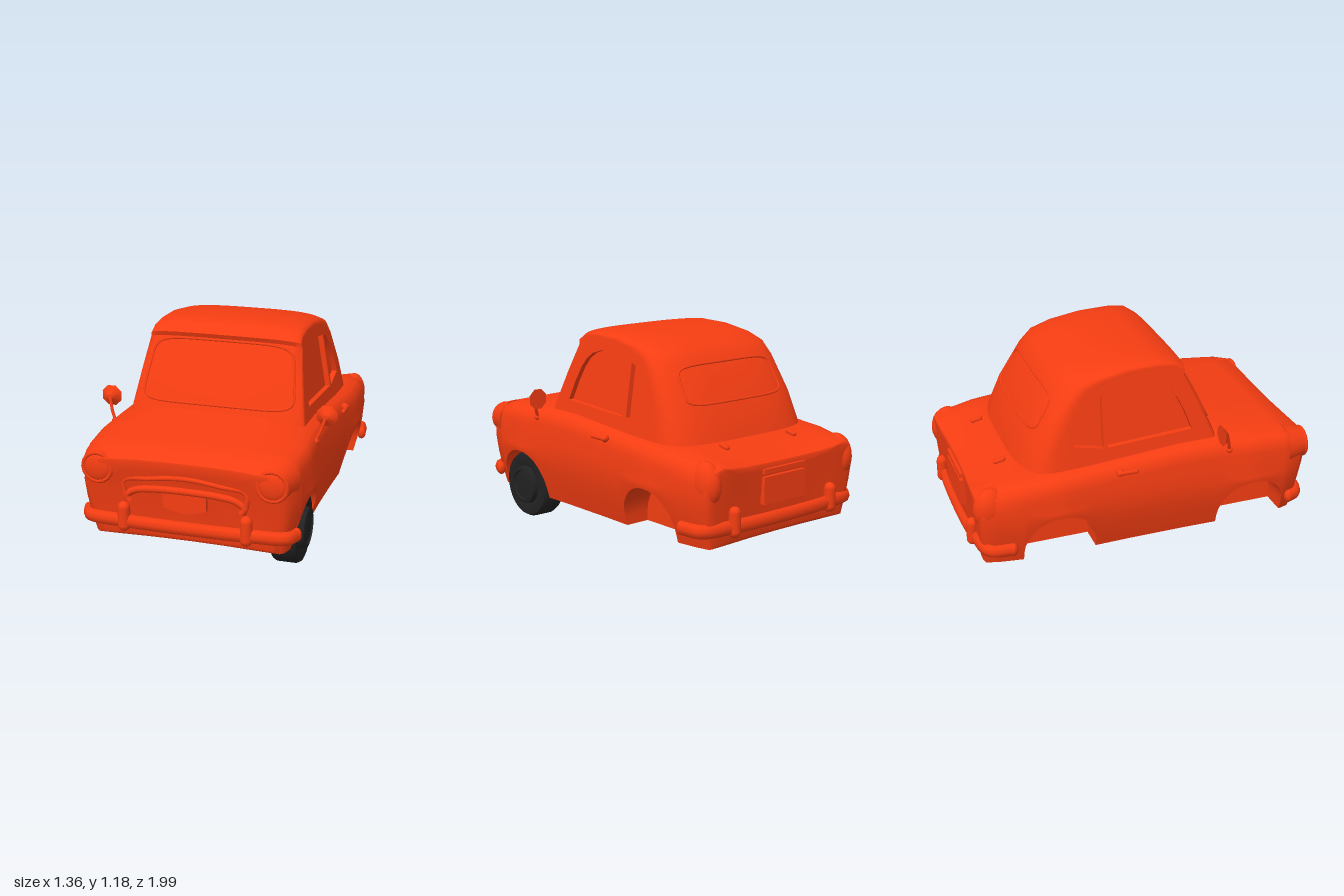
import * as THREE from 'three';
import { toCreasedNormals } from 'three/addons/utils/BufferGeometryUtils.js';

const paint = new THREE.MeshStandardMaterial({ color: 0xf53d12, side: THREE.DoubleSide });
const rubber = new THREE.MeshStandardMaterial({ color: 0x222222 });
const V = (x, y, z) => new THREE.Vector3(x, y, z);
const lerp = THREE.MathUtils.lerp;
const spow = (v, p) => Math.sign(v) * Math.abs(v) ** p;

// Linear lookup in rows sorted by descending first column
function lookup(rows, key) {
  let i = 0;
  while (i < rows.length - 2 && key < rows[i + 1][0]) i++;
  const a = rows[i], b = rows[i + 1];
  const k = THREE.MathUtils.clamp((key - a[0]) / (b[0] - a[0]), 0, 1);
  return a.map((v, n) => lerp(v, b[n], k));
}

// Skin over a list of equal-length point rows
function loft(rows, closed, crease = 0.6) {
  const n = rows[0].length, idx = [];
  for (let i = 0; i < rows.length - 1; i++)
    for (let j = 0; j < (closed ? n : n - 1); j++) {
      const a = i * n + j, b = i * n + (j + 1) % n;
      idx.push(a, b, b + n, a, b + n, a + n);
    }
  const g = new THREE.BufferGeometry().setFromPoints(rows.flat());
  g.setIndex(idx);
  return toCreasedNormals(g, crease);
}

function mesh(name, geo, mat = paint, pos) {
  const m = new THREE.Mesh(geo, mat);
  m.name = name;
  if (pos) m.position.set(...pos);
  return m;
}

const tube = (pts, r, closed = false, seg = 48) =>
  new THREE.TubeGeometry(new THREE.CatmullRomCurve3(pts, closed), seg, r, 8, closed);

// ---- Lower body: z, centre top, shoulder height, half width
const stations = [
  [0.965, 0.625, 0.615, 0.56], [0.93, 0.655, 0.645, 0.583], [0.83, 0.68, 0.665, 0.605],
  [0.63, 0.705, 0.68, 0.618], [0.43, 0.735, 0.69, 0.605], [0.2, 0.72, 0.69, 0.6],
  [-0.1, 0.70, 0.67, 0.6], [-0.31, 0.68, 0.655, 0.605], [-0.51, 0.66, 0.645, 0.616],
  [-0.72, 0.635, 0.63, 0.603], [-0.85, 0.605, 0.61, 0.583], [-0.95, 0.56, 0.59, 0.56],
];
const FLOOR = 0.152, ARCH = 0.208, arches = [0.63, -0.515];
const sideShape = [[0.7, 0.95], [0.6, 0.975], [0.5, 0.985], [0.43, 1], [0.3, 0.965], [0.15, 0.9]];

function section(z, bottom) {
  const [, top, sh, w] = lookup(stations, z);
  const half = [[0, top], [0.25 * w, top - 0.04 * (top - sh)], [0.5 * w, lerp(top, sh, 0.2)],
    [0.7 * w, lerp(top, sh, 0.6)], [0.83 * w, sh], [0.91 * w, sh - 0.015], [0.955 * w, sh - 0.04]];
  const side = y => lookup(sideShape, y)[1] * w;
  for (const y of [sh - 0.09, 0.5]) half.push([side(y), y]);
  for (const k of [0, 0.33, 0.66, 1]) {
    const y = lerp(0.45, bottom, k);
    half.push([side(y), y]);
  }
  half.push([0.4, bottom], [0.4, FLOOR], [0.2, FLOOR], [0, FLOOR]);
  const left = half.slice(1, -1).reverse().map(([x, y]) => [-x, y]);
  return half.concat(left).map(([x, y]) => V(x, y, z));
}

// Ends lean in towards the bottom and dip slightly between the lamps
function bendEnds(p) {
  const t = Math.max(0, (Math.abs(p.z) - 0.75) / 0.22) ** 2;
  const front = p.z > 0;
  const lean = lookup([[0.63, 0.01], [0.4, front ? -0.03 : -0.01], [0.15, front ? -0.06 : -0.03]], p.y)[1];
  const dip = -0.02 * Math.max(0, 1 - (p.x / 0.45) ** 2);
  p.z += Math.sign(p.z) * t * (lean + dip);
  return p;
}

function bodyShell() {
  const cuts = stations.map(s => [s[0], FLOOR])
    .filter(([z]) => arches.every(c => Math.abs(z - c) > ARCH));
  for (const c of arches) {
    cuts.push([c + ARCH, FLOOR]);
    for (let i = 0; i <= 14; i++) {
      const a = Math.PI * i / 14;
      cuts.push([c + ARCH * Math.cos(a), 0.205 + ARCH * Math.sin(a)]);
    }
    cuts.push([c - ARCH, FLOOR]);
  }
  cuts.sort((a, b) => Math.abs(b[0] - a[0]) > 1e-6 ? b[0] - a[0] : 0);
  const rings = cuts.map(([z, b]) => section(z, b));
  const cap = (ring, dir) => [[0.97, 0.015], [0.92, 0.02], [0.7, 0.02], [0.45, 0.02], [0, 0.02]]
    .map(([s, d]) => ring.map(p => V(p.x * s, 0.4 + (p.y - 0.4) * s, p.z + dir * d)));
  const all = [...cap(rings[0], 1).reverse(), ...rings, ...cap(rings[rings.length - 1], -1)];
  return loft(all.map(r => r.map(bendEnds)), true, 0.75);
}

// ---- Cabin: centre line z, y and side edge z, y, from windscreen over the roof to the rear
const cabinRows = [
  [0.45, 0.70, 0.40, 0.64], [0.43, 0.745, 0.385, 0.72], [0.34, 0.93, 0.31, 0.92],
  [0.255, 1.10, 0.24, 1.07], [0.265, 1.125, 0.24, 1.095], [0.2, 1.17, 0.2, 1.125],
  [0.1, 1.185, 0.1, 1.135], [-0.1, 1.18, -0.05, 1.13], [-0.3, 1.15, -0.2, 1.10],
  [-0.42, 1.11, -0.29, 1.06], [-0.485, 1.04, -0.35, 0.98], [-0.62, 0.82, -0.43, 0.82],
  [-0.69, 0.66, -0.46, 0.70], [-0.715, 0.58, -0.47, 0.58],
];
const cabinX = y => 0.5 - 0.163 * (y - 0.72);

// Point on the cabin skin: s is -1..1 across, t is a fractional row
function cabinPoint(s, t) {
  const i = Math.min(Math.floor(t), cabinRows.length - 2);
  const [cz, cy, ez, ey] = cabinRows[i].map((v, n) => lerp(v, cabinRows[i + 1][n], t - i));
  const k = Math.max(0, 1 - Math.abs(s) ** 3.3) ** (1 / 3.3);
  const y = lerp(ey, cy, k);
  return V(s * cabinX(ey), y, lerp(ez, cz, k));
}

function windowTrim(s0, t0, t1) {
  const pts = [];
  for (let i = 0; i < 48; i++) {
    const a = 2 * Math.PI * i / 48;
    pts.push(cabinPoint(s0 * spow(Math.cos(a), 0.3), (t0 + t1) / 2 + (t1 - t0) / 2 * spow(Math.sin(a), 0.3)));
  }
  return tube(pts, 0.007, true, 120);
}

const panes = [
  [[0.28, 0.76], [0.24, 0.87], [0.2, 0.955], [0.16, 1.01], [0.11, 1.045], [0.03, 1.07], [-0.1, 1.06], [-0.21, 1.04], [-0.215, 0.735]],
  [[-0.24, 0.735], [-0.235, 1.035], [-0.265, 1.025], [-0.31, 0.98], [-0.36, 0.9], [-0.39, 0.84], [-0.41, 0.77]],
];

// Flat shape in z, y laid against the sloping cabin side
function onSide(outline, depth, holes = []) {
  const toV2 = list => list.map(p => new THREE.Vector2(...p));
  const shape = new THREE.Shape(toV2(outline));
  shape.holes = holes.map(h => new THREE.Path(toV2(h)));
  const g = new THREE.ShapeGeometry(shape), p = g.attributes.position;
  for (let i = 0; i < p.count; i++) p.setXYZ(i, cabinX(p.getY(i)) - depth, p.getY(i), p.getX(i));
  g.computeVertexNormals();
  return g;
}

export function createModel() {
  const car = new THREE.Group();
  car.name = 'smallCar';
  const add = (...args) => car.add(mesh(...args));
  const pair = new THREE.Group();
  pair.name = 'leftParts';
  const addPair = (...args) => { const m = mesh(...args); pair.add(m); return m; };

  add('body', bodyShell());
  const cols = Array.from({ length: 33 }, (_, j) => spow(Math.sin((j / 16 - 1) * Math.PI / 2), 0.6));
  add('cabin', loft(cabinRows.map((_, t) => cols.map(s => cabinPoint(s, t))), false, 0.7));
  add('windscreenTrim', windowTrim(0.9, 1.1, 2.95));
  add('rearWindowTrim', windowTrim(0.74, 10.05, 10.95));

  // Cabin sides with recessed panes
  addPair('cabinSide', onSide(cabinRows.map(r => [r[2], r[3]]), 0, panes));
  for (const pane of panes) {
    addPair('sideGlass', onSide(pane, 0.03));
    addPair('windowRim', loft([0, 0.03].map(d => pane.map(([z, y]) => V(cabinX(y) - d, y, z))), true));
  }

  // Headlights, tail fins
  const housing = new THREE.CylinderGeometry(0.088, 0.12, 0.12, 16).rotateX(Math.PI / 2);
  addPair('headlightHousing', housing, paint, [0.48, 0.55, 0.91]);
  addPair('headlightRim', new THREE.TorusGeometry(0.08, 0.012, 8, 16), paint, [0.48, 0.55, 0.97]);
  addPair('headlight', new THREE.SphereGeometry(0.078, 16, 10).scale(1, 1, 0.3), paint, [0.48, 0.55, 0.968]);
  addPair('tailFin', new THREE.SphereGeometry(1, 16, 12).scale(0.07, 0.125, 0.1), paint, [0.5, 0.49, -0.885]);

  // Door handle, mirror, boot hinge
  addPair('doorHandle', new THREE.CapsuleGeometry(0.013, 0.1, 4, 8).rotateX(Math.PI / 2), paint, [0.608, 0.625, -0.14]);
  addPair('handleMount', new THREE.SphereGeometry(0.022, 10, 8), paint, [0.595, 0.625, -0.18]);
  addPair('mirrorStalk', tube([V(0.575, 0.63, 0.475), V(0.6, 0.68, 0.46), V(0.625, 0.76, 0.435)], 0.009, false, 8));
  addPair('mirrorFoot', new THREE.SphereGeometry(0.018, 8, 6), paint, [0.583, 0.635, 0.473]);
  addPair('mirror', new THREE.CylinderGeometry(0.015, 0.062, 0.035, 8).rotateY(Math.PI / 8).rotateX(Math.PI / 2),
    paint, [0.625, 0.76, 0.42]);
  const hinge = addPair('bootHinge', new THREE.CapsuleGeometry(0.016, 0.04, 4, 8).rotateX(Math.PI / 2), paint, [0.255, 0.632, -0.765]);
  hinge.rotation.x = -0.2;

  // Bumpers with overriders
  for (const [name, path, ox, oz] of [
    ['front', [[0.585, 0.865], [0.55, 0.93], [0.35, 0.955], [0, 0.965]], 0.34, 0.96],
    ['rear', [[0.58, -0.79], [0.55, -0.915], [0.36, -0.955], [0, -0.97]], 0.365, -0.963],
  ]) {
    const half = path.map(([x, z]) => V(x, 0, z));
    const pts = [...half, ...half.slice(0, -1).reverse().map(p => V(-p.x, 0, p.z))];
    add(name + 'Bumper', tube(pts, 0.027).scale(1, 1.45, 1), paint, [0, 0.255, 0]);
    addPair(name + 'BumperEnd', new THREE.SphereGeometry(0.027, 10, 8).scale(1, 1.45, 1), paint, [path[0][0], 0.255, path[0][1]]);
    addPair(name + 'Overrider', new THREE.CapsuleGeometry(0.034, 0.1, 4, 12), paint, [ox, 0.283, oz]);
  }

  // Grille: brow, moustache bar and plate
  const arc = (pts, z) => [...pts, ...pts.slice(0, -1).reverse().map(([x, y]) => [-x, y])].map(([x, y]) => V(x, y, z - 0.06 * x * x));
  add('grilleBrow', tube(arc([[0.335, 0.4], [0.335, 0.485], [0.2, 0.51], [0, 0.53]], 0.955), 0.014));
  add('grilleBar', tube(arc([[0.31, 0.37], [0.325, 0.4], [0.28, 0.435], [0.18, 0.452], [0, 0.458]], 0.95), 0.02));
  const plate = new THREE.Shape([[-0.12, 0.45], [-0.12, 0.36], [0, 0.33], [0.12, 0.36], [0.12, 0.45]].map(p => new THREE.Vector2(...p)));
  add('frontPlate', new THREE.ExtrudeGeometry(plate, { depth: 0.02, bevelEnabled: false }), paint, [0, 0, 0.935]);
  add('rearPlate', new THREE.BoxGeometry(0.31, 0.15, 0.03), paint, [0, 0.41, -0.955]);
  add('plateLamp', new THREE.BoxGeometry(0.31, 0.025, 0.05), paint, [0, 0.515, -0.945]);

  const right = pair.clone();
  right.name = 'rightParts';
  right.scale.x = -1;
  car.add(pair, right);

  // Single front wheel
  const profile = [[0, -0.075], [0.15, -0.075], [0.185, -0.07], [0.196, -0.05], [0.196, 0.05], [0.185, 0.07],
    [0.15, 0.075], [0.115, 0.065], [0.11, 0.095], [0.09, 0.1], [0.085, 0.09], [0, 0.095]];
  const wheel = new THREE.LatheGeometry(profile.map(p => new THREE.Vector2(...p)), 32).rotateZ(-Math.PI / 2);
  add('frontWheel', toCreasedNormals(wheel, 0.6), rubber, [0.495, 0.196, 0.63]);
  return car;
}
